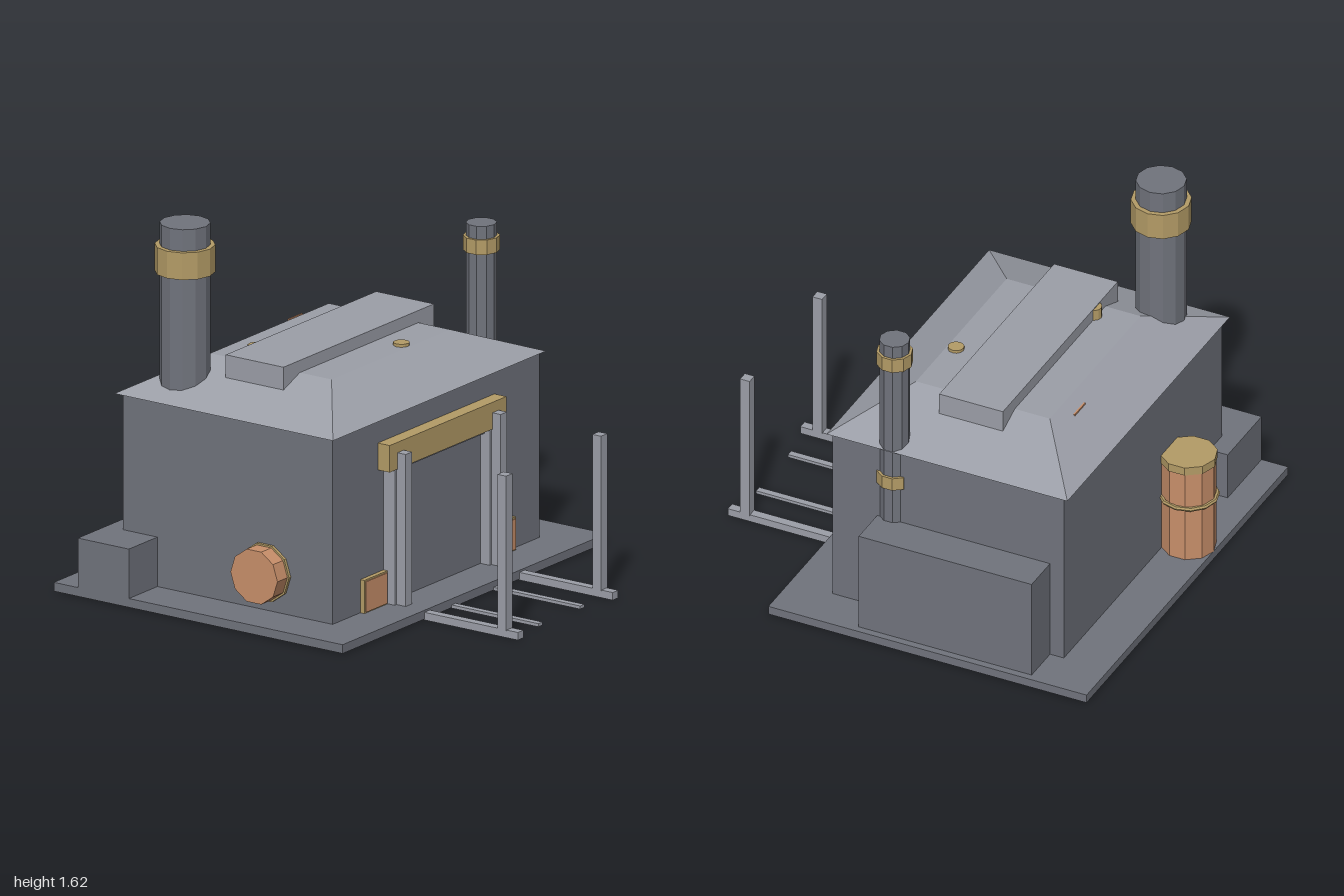
import * as THREE from 'three';

const mat = (name, color) => {
  const m = new THREE.MeshStandardMaterial({ color, flatShading: true });
  m.name = name;
  return m;
};

export function createModel() {
  const model = new THREE.Group();
  model.name = 'industrialBuilding';
  const dark = mat('darkSteel', 0x70737c);
  const light = mat('lightSteel', 0x9b9ea7);
  const brass = mat('brass', 0xb39b66);
  const copper = mat('copper', 0xc88f6a);

  const add = (name, geometry, material, parent = model) => {
    const mesh = new THREE.Mesh(geometry, material);
    mesh.name = name;
    parent.add(mesh);
    return mesh;
  };
  // Box given by its limits on each axis
  const box = (name, material, x0, x1, y0, y1, z0, z1, parent) => {
    const mesh = add(name, new THREE.BoxGeometry(x1 - x0, y1 - y0, z1 - z0), material, parent);
    mesh.position.set((x0 + x1) / 2, (y0 + y1) / 2, (z0 + z1) / 2);
    return mesh;
  };
  // Upright faceted cylinder from y0 to y1
  const drum = (name, material, x, z, r, y0, y1, sides = 12, parent = model) => {
    const mesh = add(name, new THREE.CylinderGeometry(r, r, y1 - y0, sides), material, parent);
    mesh.position.set(x, (y0 + y1) / 2, z);
    return mesh;
  };

  // Ground slab, main hall and annexes
  box('baseSlab', dark, -0.957, 0.957, 0.004, 0.043, -0.985, 0.515);
  box('mainHall', dark, -0.75, 0.75, 0.043, 0.866, -0.775, 0.315);
  box('sideAnnex', dark, 0.75, 0.925, 0.043, 0.505, -0.71, 0.105);
  box('cornerUnit', dark, -0.957, -0.635, 0.043, 0.262, -0.86, -0.595);

  // Hipped roof: a box whose upper corners are drawn inward
  const roof = new THREE.BoxGeometry(1.545, 0.137, 1.135);
  const p = roof.attributes.position;
  for (let i = 0; i < p.count; i++) {
    if (p.getY(i) > 0) {
      p.setX(i, Math.sign(p.getX(i)) * 0.43);
      p.setZ(i, Math.sign(p.getZ(i)) * 0.315);
    }
  }
  roof.computeVertexNormals();
  add('roof', roof, light).position.set(0, 0.9335, -0.235);
  box('roofVentBox', light, -0.548, 0.543, 0.955, 1.056, -0.385, -0.085);
  drum('roofCap', brass, 0.135, 0.038, 0.035, 0.99, 1.015);
  drum('ventValve', brass, -0.345, -0.372, 0.036, 0.99, 1.052);
  box('roofSlot', copper, 0.22, 0.32, 0.94, 0.975, -0.614, -0.606);

  // Chimneys with brass collars
  const largeChimney = new THREE.Group();
  largeChimney.name = 'largeChimney';
  model.add(largeChimney);
  drum('largeStack', dark, -0.578, -0.575, 0.108, 0.82, 1.616, 12, largeChimney);
  drum('largeCollar', brass, -0.578, -0.575, 0.129, 1.4, 1.52, 12, largeChimney);

  const smallChimney = new THREE.Group();
  smallChimney.name = 'smallChimney';
  model.add(smallChimney);
  drum('smallStack', dark, 0.708, 0.043, 0.066, 0.48, 1.4, 10, smallChimney);
  for (const [y0, y1] of [[1.278, 1.343], [0.677, 0.737]]) {
    drum('smallCollar', brass, 0.708, 0.043, 0.078, y0, y1, 10, smallChimney);
  }

  // Rear tank with lid and hoop
  const tank = new THREE.Group();
  tank.name = 'rearTank';
  model.add(tank);
  drum('tankBody', copper, -0.25, -0.868, 0.118, 0.043, 0.478, 10, tank);
  drum('tankLid', brass, -0.25, -0.868, 0.123, 0.476, 0.514, 10, tank);
  const hoop = add('tankHoop', new THREE.TorusGeometry(0.122, 0.01, 6, 12), brass, tank);
  hoop.rotation.x = Math.PI / 2;
  hoop.position.set(-0.25, 0.303, -0.868);

  // Round hatch on the right wall
  const disc = (name, material, r, x0, x1) => {
    const mesh = add(name, new THREE.CylinderGeometry(r, r, x1 - x0, 10), material);
    mesh.rotation.z = Math.PI / 2;
    mesh.position.set((x0 + x1) / 2, 0.212, -0.032);
  };
  disc('wallHatch', copper, 0.122, -0.836, -0.755);
  disc('wallHatchRim', brass, 0.13, -0.764, -0.745);

  // Doorway
  box('lintel', brass, -0.423, 0.423, 0.643, 0.762, 0.315, 0.377);
  box('door', dark, -0.308, 0.308, 0.043, 0.622, 0.31, 0.325);
  box('doorHead', dark, -0.308, 0.308, 0.622, 0.643, 0.31, 0.345);

  // Mirrored front fittings
  for (const s of [-1, 1]) {
    const side = s < 0 ? 'right' : 'left';
    const strip = (name, material, cx, w, y0, y1, z0, z1) =>
      box(side + name, material, s * cx - w / 2, s * cx + w / 2, y0, y1, z0, z1);
    strip('DoorJamb', light, 0.344, 0.072, 0.043, 0.643, 0.315, 0.373);
    strip('NearPost', light, 0.344, 0.046, 0.043, 0.716, 0.373, 0.42);
    strip('FarPost', light, 0.344, 0.046, 0.03, 0.716, 0.896, 0.941);
    strip('OuterRail', light, 0.344, 0.04, 0, 0.034, 0.512, 1);
    strip('InnerRail', light, 0.152, 0.03, 0.002, 0.016, 0.512, 0.965);
    strip('VentFrame', brass, 0.466, 0.168, 0.043, 0.19, 0.31, 0.336);
    strip('VentPanel', copper, 0.466, 0.154, 0.048, 0.183, 0.335, 0.341);
  }
  return model;
}
